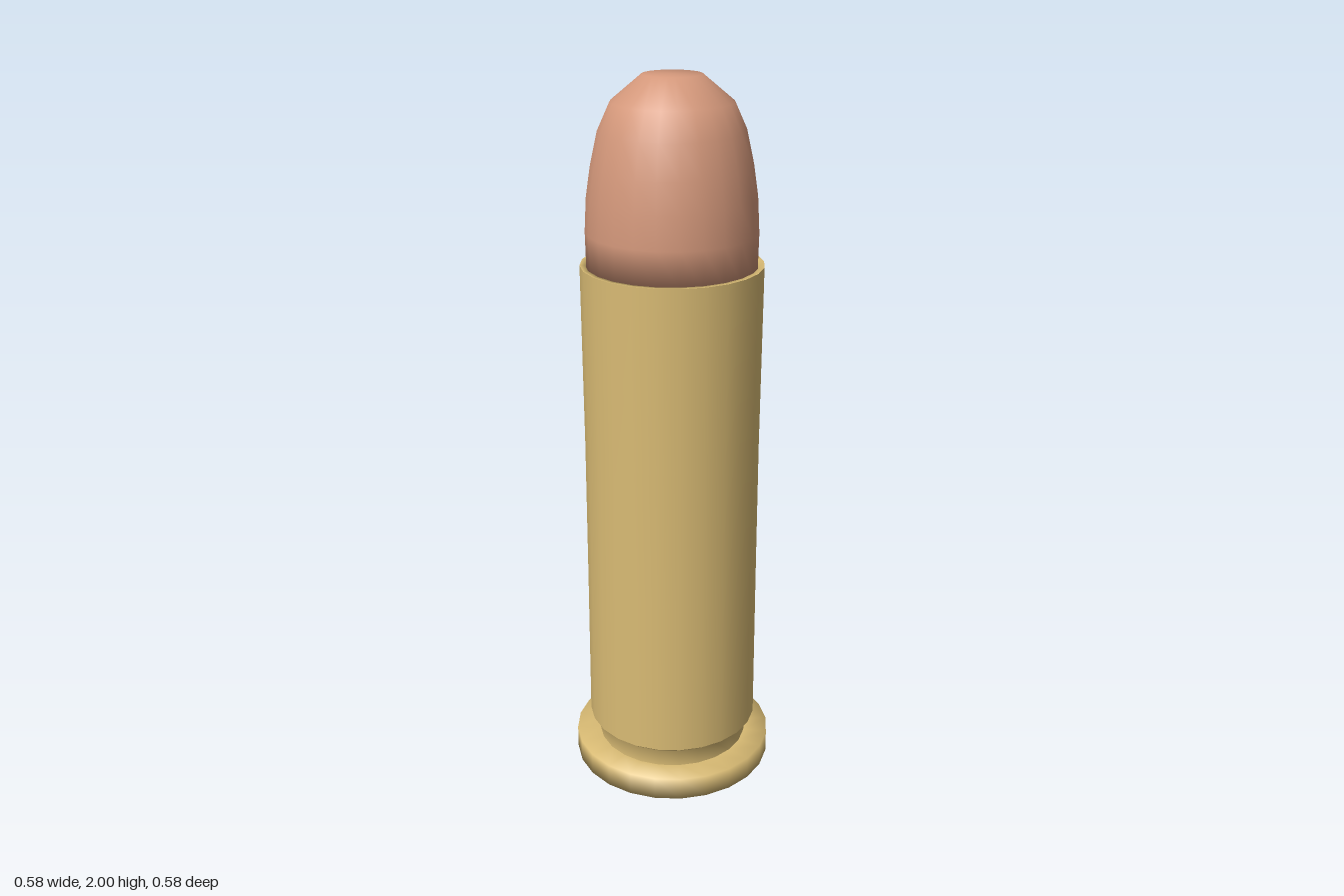
import * as THREE from 'three';

const SIDES = 24;

export function createModel() {
  const group = new THREE.Group();
  group.name = 'cartridge';

  const brass = new THREE.MeshStandardMaterial({ color: 0xd9bb74 });
  brass.name = 'brass';
  const copper = new THREE.MeshStandardMaterial({ color: 0xd4987b });
  copper.name = 'copper';

  // Every part is turned from a [radius, height] profile, listed bottom to top
  const turn = (name, material, profile) => {
    const points = profile.map(([r, y]) => new THREE.Vector2(r, y));
    const mesh = new THREE.Mesh(new THREE.LatheGeometry(points, SIDES), material);
    mesh.name = name;
    group.add(mesh);
  };

  // Flat base and wide rim
  turn('rim', brass, [[0, 0], [0.288, 0], [0.288, 0.066], [0.219, 0.066]]);

  // Narrow groove above the rim, flaring out to the case
  turn('extractorGroove', brass, [[0.219, 0.066], [0.219, 0.115], [0.246, 0.137]]);

  // Long case wall with a very slight waist
  turn('caseWall', brass, [[0.246, 0.137], [0.244, 0.6], [0.243, 1.0], [0.246, 1.51]]);

  // Thin lip at the case mouth
  turn('caseMouth', brass, [[0.246, 1.51], [0.232, 1.51], [0.226, 1.49]]);

  // Rounded bullet, seated in the mouth, with a small flat tip
  turn('bullet', copper, [
    [0, 1.5], [0.228, 1.5], [0.23, 1.6], [0.225, 1.69], [0.213, 1.77],
    [0.193, 1.86], [0.16, 1.932], [0.078, 2], [0, 2],
  ]);

  return group;
}
